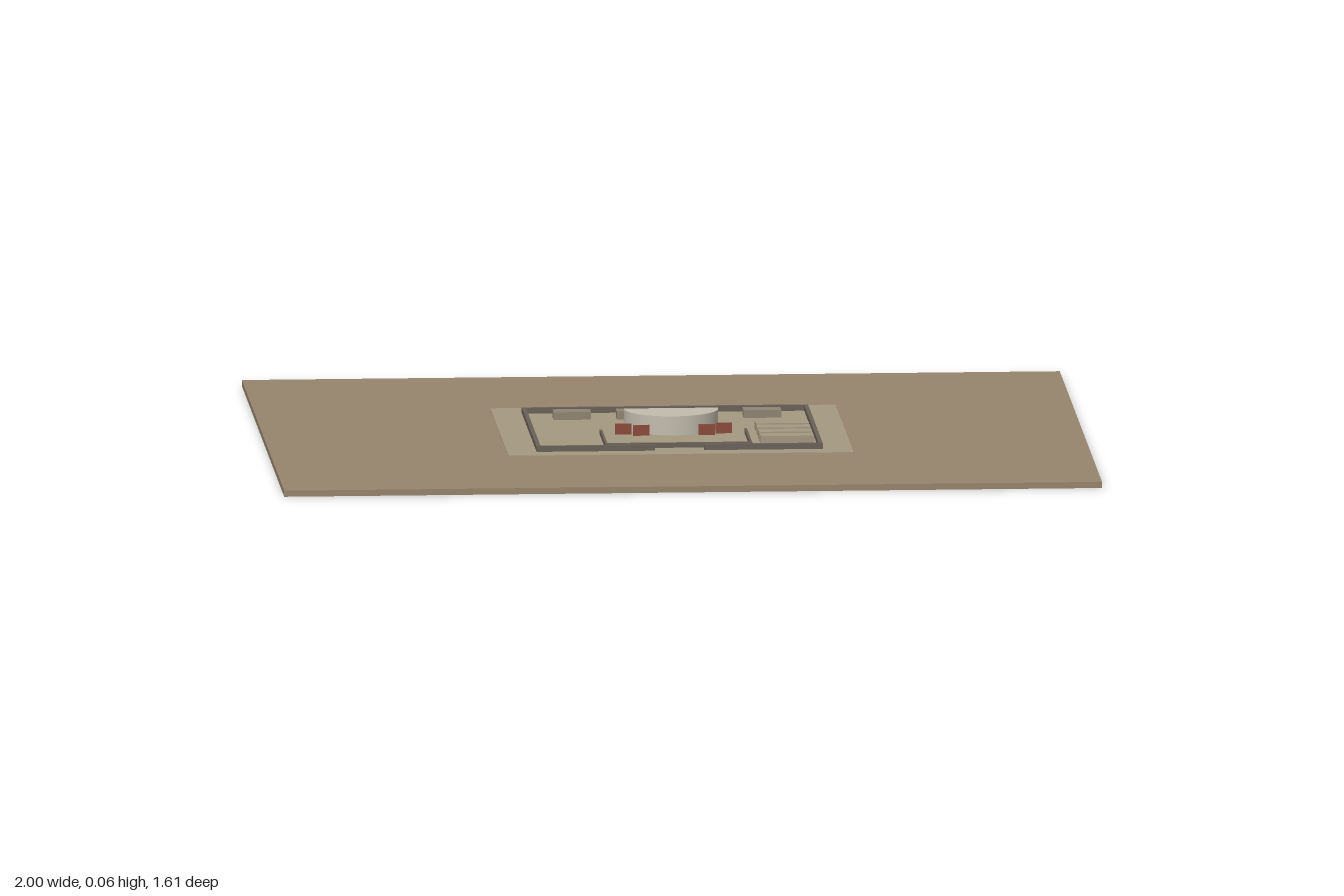
import * as THREE from 'three';

export function createModel() {
  const model = new THREE.Group();
  const mat = (color) => new THREE.MeshStandardMaterial({ color });
  const soil = mat(0x96846c), paving = mat(0xa49881), wallStone = mat(0x6a6158);
  const blockStone = mat(0x8f8474), slabStone = mat(0xa49881);
  const paleStone = mat(0xc2bcad), red = mat(0x8a4a3a);

  // Box given by its extents on each axis
  function box(name, material, x0, x1, y0, y1, z0, z1, parent = model) {
    const mesh = new THREE.Mesh(new THREE.BoxGeometry(x1 - x0, y1 - y0, z1 - z0), material);
    mesh.position.set((x0 + x1) / 2, (y0 + y1) / 2, (z0 + z1) / 2);
    mesh.name = name;
    parent.add(mesh);
    return mesh;
  }
  function group(name) {
    const g = new THREE.Group();
    g.name = name;
    model.add(g);
    return g;
  }

  // Ground and paved precinct
  const base = 0.017;
  box('ground', soil, -1, 1, 0, 0.015, -0.805, 0.805);
  box('precinctPaving', paving, -0.422, 0.422, 0.014, base, -0.345, 0.345);

  // Outer wall with a gateway in the front
  const outer = group('outerWall');
  const top = 0.031, t = 0.01;
  box('backWall', wallStone, -0.35, 0.35, base, top, -0.272, -0.272 + t, outer);
  for (const s of [-1, 1]) {
    const side = s * (0.35 - t / 2), front = s * 0.205;
    box('sideWall', wallStone, side - t / 2, side + t / 2, base, top, -0.272, 0.294, outer);
    box('frontWall', wallStone, front - 0.145, front + 0.145, base, top, 0.294 - t, 0.294, outer);
  }

  // Inner court wall, open towards the stage
  const court = group('innerCourtWall');
  box('courtFront', wallStone, -0.18, 0.18, base, 0.029, 0.246, 0.255, court);
  for (const s of [-1, 1]) {
    box('courtSide', wallStone, s * 0.177 - 0.003, s * 0.177 + 0.003, base, 0.029, 0.05, 0.255, court);
  }

  // Row of blocks along the back
  const blocks = group('backBlocks');
  for (let i = 0; i < 4; i++) {
    const x = -0.233 + i * 0.155;
    box('block', blockStone, x - 0.046, x + 0.046, base, 0.036, -0.21, -0.165, blocks);
  }

  // Row of long slabs on the left
  const slabs = group('sideSlabs');
  for (let i = 0; i < 4; i++) {
    const z = 0.011 + i * 0.062;
    box('slab', slabStone, 0.203, 0.333, base, 0.037, z - 0.021, z + 0.021, slabs);
  }

  // Half-round platform with a straight back
  const platform = new THREE.Mesh(
    new THREE.CylinderGeometry(0.115, 0.115, 0.047, 32, 1, false, -Math.PI / 2, Math.PI), paleStone);
  platform.name = 'halfRoundPlatform';
  platform.position.set(0, base + 0.0235, -0.039);
  model.add(platform);
  box('platformBack', paleStone, -0.115, 0.115, base, 0.064, -0.046, -0.038);

  // Small red panels in front of the platform
  const panels = group('redPanels');
  for (const s of [-1, 1]) {
    for (const [x, z] of [[0.123, 0.05], [0.08, 0.073]]) {
      box('panel', red, s * x - 0.02, s * x + 0.02, base, 0.043, z - 0.003, z + 0.003, panels);
    }
  }
  return model;
}
